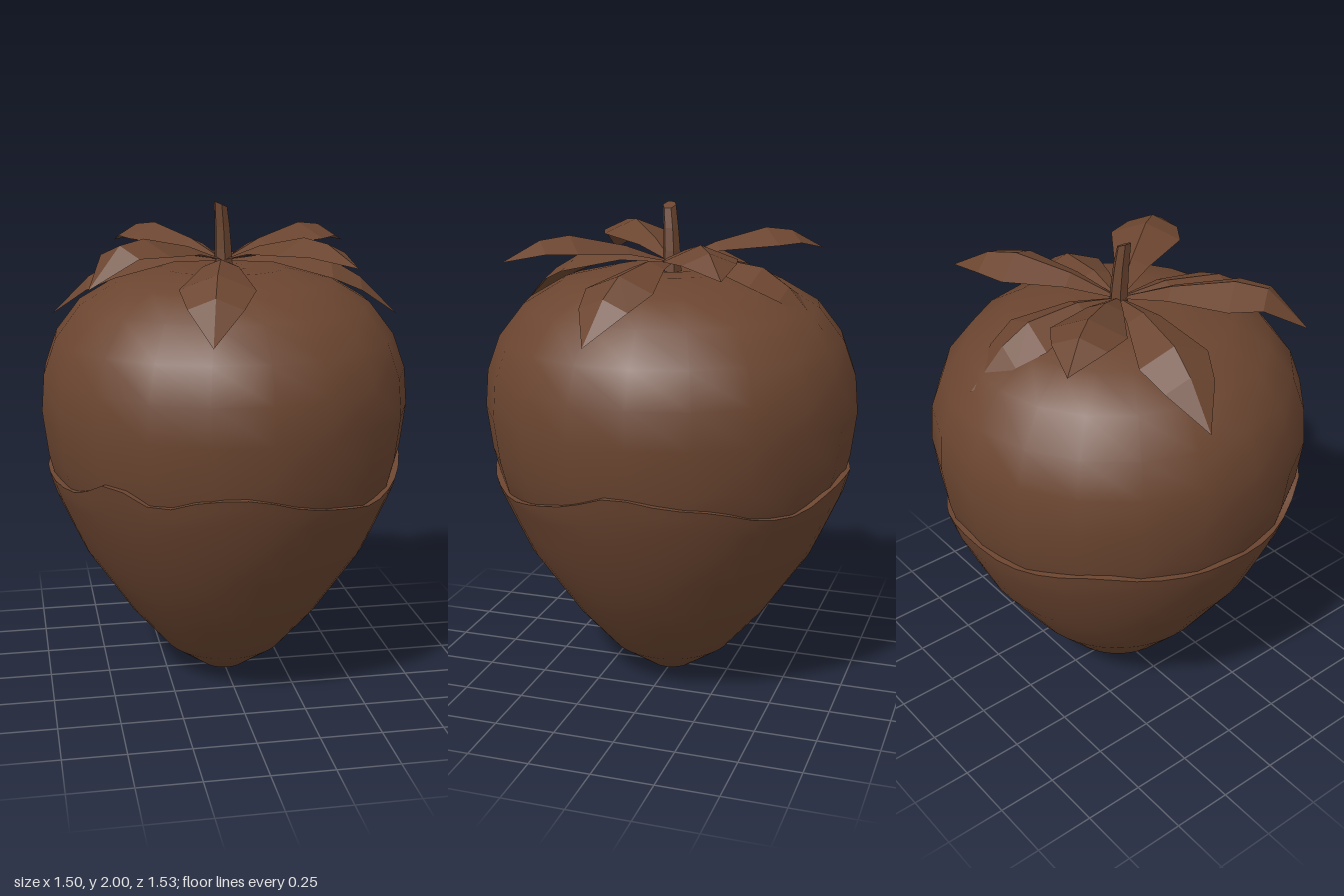
import * as THREE from 'three';
import { mergeVertices, toCreasedNormals } from 'three/addons/utils/BufferGeometryUtils.js';

const chocolate = new THREE.MeshStandardMaterial({ color: 0x6b4530, side: THREE.DoubleSide });
chocolate.name = 'chocolate brown';

// berry outline: radius, height
const PROFILE = [[0, 0.005], [0.09, 0.02], [0.24, 0.135], [0.395, 0.315], [0.575, 0.585], [0.695, 0.86],
  [0.73, 1.0], [0.752, 1.18], [0.74, 1.33], [0.69, 1.47], [0.59, 1.6], [0.44, 1.69], [0.25, 1.735], [0.1, 1.735], [0, 1.72]];
// height of the dipped edge, every 15 degrees from +z towards +x
const EDGE = [0.98, 0.92, 0.89, 0.86, 0.89, 0.93, 1.0, 0.96, 0.94, 0.88, 0.87, 0.93,
  0.95, 0.92, 0.94, 0.98, 0.95, 0.93, 0.93, 0.91, 0.92, 1.01, 0.92, 0.98];

function radiusAt(y) {
  const i = Math.max(1, PROFILE.findIndex((p) => p[1] >= y));
  const [r0, y0] = PROFILE[i - 1], [r1, y1] = PROFILE[i];
  return r0 + (r1 - r0) * (y - y0) / (y1 - y0);
}

function edgeAt(angle) {
  const f = ((angle / (Math.PI * 2)) * 24 + 48) % 24, i = Math.floor(f);
  return THREE.MathUtils.lerp(EDGE[i % 24], EDGE[(i + 1) % 24], f - i);
}

function add(group, name, geometry) {
  const mesh = new THREE.Mesh(geometry, chocolate);
  mesh.name = name;
  group.add(mesh);
  return mesh;
}

function lathe(points, sides) {
  const start = THREE.MathUtils.degToRad(4.5);
  return new THREE.LatheGeometry(points.map(([r, y]) => new THREE.Vector2(r, y)), sides, start);
}

// dipped shell with a wavy, slightly thick rim
function coatingGeometry() {
  const base = 0.585, flatEdge = 0.93;
  const pts = [[0, 0], [0.092, 0.017], [0.25, 0.13], [0.405, 0.31], [0.59, base],
    [0.66, 0.72], [0.71, 0.84], [0.73, 0.9], [0.735, flatEdge], [0.69, flatEdge]];
  const geo = lathe(pts, 48);
  const p = geo.attributes.position;
  for (let i = 0; i < p.count; i++) {
    const level = i % pts.length;
    if (level < 5) continue;
    const angle = Math.atan2(p.getX(i), p.getZ(i));
    const y = base + (pts[level][1] - base) * (edgeAt(angle) - base) / (flatEdge - base);
    const r = radiusAt(y) + (level === pts.length - 1 ? -0.03 : 0.017);
    p.setXYZ(i, Math.sin(angle) * r, y, Math.cos(angle) * r);
  }
  geo.deleteAttribute('uv');
  geo.deleteAttribute('normal');
  return toCreasedNormals(mergeVertices(geo), 0.8);
}

// leaf folded along a raised midrib; stations are [reach, height, half width]
function leafGeometry(stations) {
  const v = [];
  for (let i = 0; i < stations.length - 1; i++) {
    for (const side of [1, -1]) {
      const [a, b] = [stations[i], stations[i + 1]];
      const rib = (s) => [s[0], s[1], 0];
      const rim = (s) => [s[0], s[1] - s[2] * 0.4, s[2] * side];
      const quad = [rib(a), rim(a), rim(b), rib(b)];
      const order = side > 0 ? [0, 1, 2, 0, 2, 3] : [0, 2, 1, 0, 3, 2];
      for (const k of order) v.push(...quad[k]);
    }
  }
  const geo = new THREE.BufferGeometry();
  geo.setAttribute('position', new THREE.Float32BufferAttribute(v, 3));
  geo.computeVertexNormals();
  return geo;
}

export function createModel() {
  const model = new THREE.Group();
  model.name = 'dippedStrawberry';

  const fruit = new THREE.Group();
  fruit.name = 'fruit';
  fruit.scale.z = 1.02;
  model.add(fruit);
  add(fruit, 'berry', lathe(PROFILE, 20));
  add(fruit, 'coating', coatingGeometry());

  // leaves alternate between raised and drooping; tips are x, z
  const leaves = new THREE.Group();
  leaves.name = 'leaves';
  model.add(leaves);
  const tips = [[0.59, -0.37], [0.09, -0.64], [-0.39, -0.54], [-0.69, -0.13],
    [-0.58, 0.45], [-0.16, 0.71], [0.41, 0.56], [0.7, 0.12]];
  tips.forEach(([x, z], i) => {
    const reach = Math.hypot(x, z), raised = i % 2 === 0;
    const tipY = raised ? (i === 4 ? 1.72 : 1.79) : 1.54;
    const heights = raised ? [1.77, 1.835, 1.885, 1.87] : [1.765, 1.79, 1.765, 1.695];
    const stations = [[0.02, heights[0], 0.012], [reach * 0.28, heights[1], 0.07],
      [reach * 0.61, heights[2], 0.145], [reach * 0.78, heights[3], 0.105], [reach, tipY, 0]];
    const leaf = add(leaves, raised ? 'raisedLeaf' : 'droopingLeaf', leafGeometry(stations));
    leaf.rotation.y = Math.atan2(-z, x);
  });

  // short stem, leaning and cut at a slant
  const stemGeo = new THREE.CylinderGeometry(0.028, 0.04, 0.27, 6, 3).toNonIndexed();
  const p = stemGeo.attributes.position;
  for (let i = 0; i < p.count; i++) {
    const t = p.getY(i) / 0.27 + 0.5;
    const x = p.getX(i);
    p.setXYZ(i, x - 0.014 * t * t, 1.72 + t * 0.267 - (t > 0.99 ? x * 0.45 : 0), p.getZ(i) + 0.015 * t * t);
  }
  stemGeo.computeVertexNormals();
  add(model, 'stem', stemGeo);

  return model;
}
